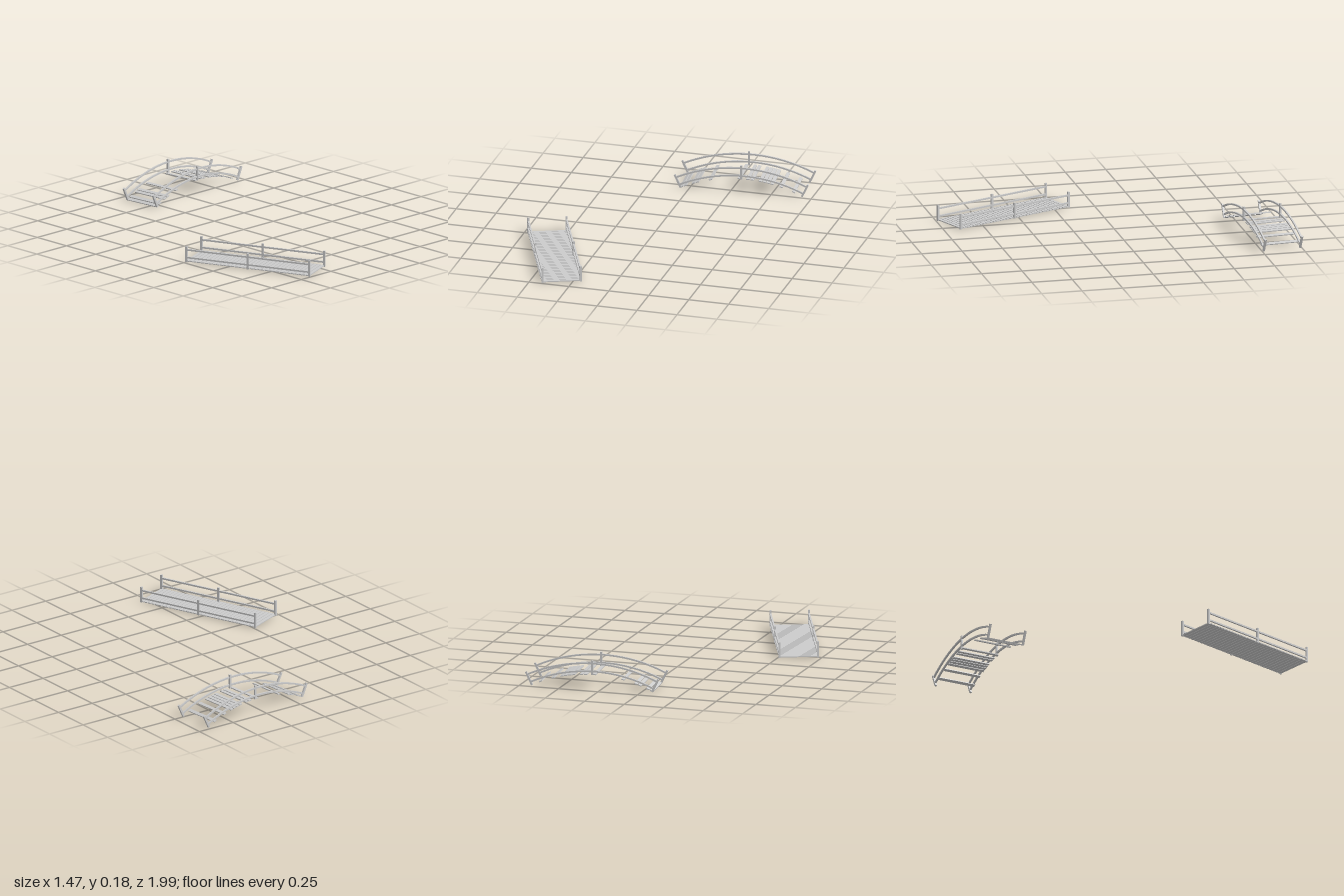
import * as THREE from 'three';

const material = new THREE.MeshStandardMaterial({ color: 0xcccccc, flatShading: true });
const T = 0.012;        // timber thickness
const SIDE = 0.1155;    // rail and post offset from the centre line
const PITCH = 0.0245;   // plank spacing

function addBox(parent, name, size, pos, tilt = 0) {
  const mesh = new THREE.Mesh(new THREE.BoxGeometry(...size), material);
  mesh.name = name;
  mesh.position.set(...pos);
  mesh.rotation.z = tilt;
  parent.add(mesh);
  return mesh;
}

// Straight footbridge running along local x
function flatBridge() {
  const g = new THREE.Group();
  g.name = 'flatBridge';
  const half = 0.4;
  for (const s of [-1, 1]) {
    for (const u of [-half, 0, half]) addBox(g, 'post', [T, 0.098, T], [u, 0.051, s * SIDE]);
    for (const y of [0.03, 0.078]) addBox(g, 'rail', [half * 2, 0.01, 0.01], [0, y, s * SIDE]);
  }
  const count = 33;
  for (let i = 0; i < count; i++) {
    addBox(g, 'plank', [0.02, 0.006, 0.24], [(i - (count - 1) / 2) * PITCH, 0.008, 0]);
  }
  return g;
}

// Arched footbridge with missing planks, bent around a circle below it
function archedBridge() {
  const g = new THREE.Group();
  g.name = 'archedBridge';
  const cy = -0.771;
  const half = THREE.MathUtils.degToRad(25.4);
  const at = (r, a, z) => [r * Math.sin(a), cy + r * Math.cos(a), z];

  // Curved rail: an arc band extruded across its width
  const railGeometry = (r) => {
    const shape = new THREE.Shape();
    shape.absarc(0, 0, r + 0.005, Math.PI / 2 + half, Math.PI / 2 - half, true);
    shape.absarc(0, 0, r - 0.005, Math.PI / 2 - half, Math.PI / 2 + half, false);
    const geo = new THREE.ExtrudeGeometry(shape, { depth: 0.01, bevelEnabled: false, curveSegments: 24 });
    return geo.translate(0, cy, -0.005);
  };
  for (const s of [-1, 1]) {
    for (const a of [-half, 0, half]) {
      addBox(g, 'post', [T, 0.088, T], at(0.908, a, s * SIDE), -a);
    }
    for (const r of [0.885, 0.934]) {
      const rail = new THREE.Mesh(railGeometry(r), material);
      rail.name = 'curvedRail';
      rail.position.z = s * SIDE;
      g.add(rail);
    }
  }

  // Remaining planks, by distance along the span
  const planks = [-0.367, -0.343, -0.294, -0.27, -0.19, -0.013, 0.04, 0.066,
    0.116, 0.14, 0.163, 0.187, 0.242, 0.319];
  const deckRadius = 0.866;
  for (const u of planks) {
    const a = Math.asin(u / deckRadius);
    addBox(g, 'plank', [0.02, 0.006, 0.235], at(deckRadius, a, 0), -a);
  }
  return g;
}

export function createModel() {
  const model = new THREE.Group();
  model.name = 'footbridges';

  const flat = flatBridge();
  flat.position.set(-0.4655, 0, 0.573);
  flat.rotation.y = THREE.MathUtils.degToRad(-67.5);

  const arched = archedBridge();
  arched.position.set(0.312, 0, -0.839);
  arched.rotation.y = THREE.MathUtils.degToRad(5);

  model.add(flat, arched);
  return model;
}
